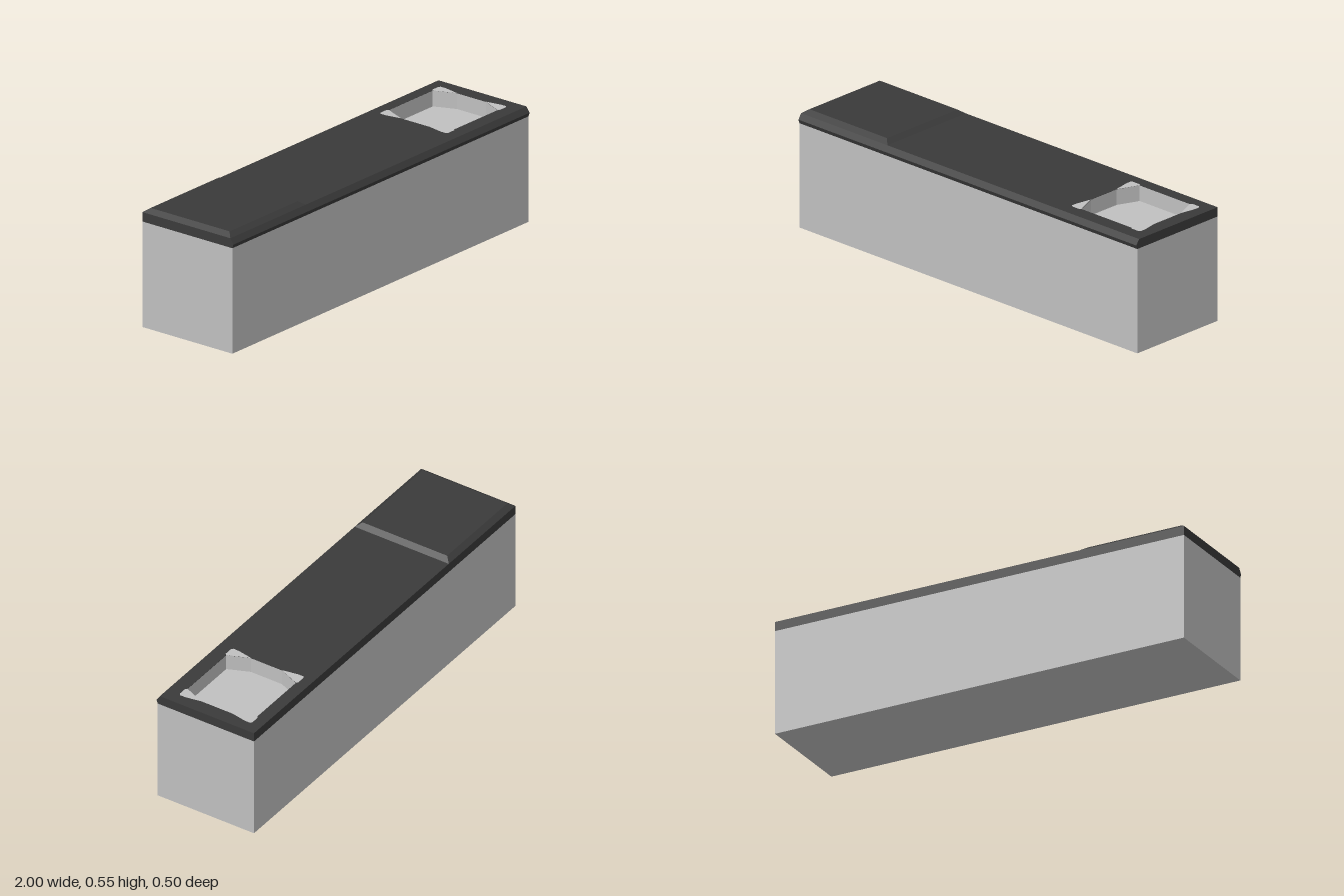
import * as THREE from 'three';

export function createModel() {
  const model = new THREE.Group();
  const cabinetGrey = new THREE.MeshStandardMaterial({ color: 0xc0c0c0 });
  cabinetGrey.name = 'cabinetGrey';
  const worktopDark = new THREE.MeshStandardMaterial({ color: 0x3a3a3a });
  worktopDark.name = 'worktopDark';

  const add = (name, geometry, material, parent = model) => {
    const mesh = new THREE.Mesh(geometry, material);
    mesh.name = name;
    parent.add(mesh);
    return mesh;
  };
  const toPoints = (list) => list.map(([x, y]) => new THREE.Vector2(x, y));
  // Extrude a plan outline (x, -z) upwards from height y
  const extrudeUp = (shape, y, depth) =>
    new THREE.ExtrudeGeometry(shape, { depth, bevelEnabled: false })
      .rotateX(-Math.PI / 2).translate(0, y, 0);

  const underside = 0.484, top = 0.527, back = -0.25, lip = 0.235;
  const sinkX = 0.742, sinkZ = -0.013, floorY = 0.455;

  // Cabinet: box left open at the top, where the worktop covers it
  const cabinet = new THREE.BoxGeometry(2, underside, 0.496).translate(0, underside / 2, -0.002);
  cabinet.groups = cabinet.groups.filter((g) => g.materialIndex !== 2);
  add('cabinet', cabinet, Array(6).fill(cabinetGrey));

  // Sink outline: rectangle with cut corners
  const quarter = [[0.19, 0.08], [0.148, 0.18]];
  const octagon = [];
  for (const [sx, sz] of [[1, 1], [-1, 1], [-1, -1], [1, -1]]) {
    const pts = quarter.map(([x, z]) => [sinkX + sx * x, -sinkZ + sz * z]);
    octagon.push(...(sx * sz > 0 ? pts : pts.reverse()));
  }

  // Worktop slab with the sink opening
  const slab = new THREE.Shape(toPoints([[-1, -lip], [1, -lip], [1, -back], [-1, -back]]));
  slab.holes.push(new THREE.Path(toPoints(octagon)));
  add('worktop', extrudeUp(slab, underside, top - underside), worktopDark);

  // Faceted front edge, extruded along x
  const nose = new THREE.Shape(toPoints([
    [-lip, underside], [-lip, top], [-0.252, 0.502], [-0.246, underside],
  ]));
  add('worktopFrontEdge', new THREE.ExtrudeGeometry(nose, { depth: 2, bevelEnabled: false })
    .rotateY(Math.PI / 2).translate(-1, 0, 0), worktopDark);

  // Raised section with sloping sides
  const width = 0.51, depth = lip - back, height = 0.018, inset = 0.025;
  const raised = new THREE.BoxGeometry(width, height, depth);
  const pos = raised.attributes.position;
  for (let i = 0; i < pos.count; i++) {
    if (pos.getY(i) < 0) continue;
    pos.setX(i, Math.sign(pos.getX(i)) * (width / 2 - inset));
    pos.setZ(i, Math.sign(pos.getZ(i)) * (depth / 2 - inset));
  }
  const raisedFlat = raised.toNonIndexed();
  raisedFlat.computeVertexNormals();
  raisedFlat.translate(-1 + width / 2, top + height / 2, (lip + back) / 2);
  add('raisedSection', raisedFlat, worktopDark);

  // Basin: inward-facing walls and a floor
  const sink = new THREE.Group();
  sink.name = 'sink';
  model.add(sink);
  octagon.forEach(([x0, y0], i) => {
    const [x1, y1] = octagon[(i + 1) % octagon.length];
    const wall = new THREE.PlaneGeometry(Math.hypot(x1 - x0, y1 - y0), top - floorY);
    const mesh = add('sinkWall', wall, cabinetGrey, sink);
    const mx = (x0 + x1) / 2, mz = -(y0 + y1) / 2;
    // Nudge inside the worktop opening
    const normal = new THREE.Vector2(-(y1 - y0), x1 - x0).normalize();
    mesh.position.set(mx + normal.x * 0.001, (top + floorY) / 2, mz - normal.y * 0.001);
    mesh.rotation.y = Math.atan2(normal.x, -normal.y);
  });
  add('sinkFloor', new THREE.ShapeGeometry(new THREE.Shape(toPoints(octagon)))
    .rotateX(-Math.PI / 2).translate(0, floorY, 0), cabinetGrey, sink);

  // Thin corner plates around the basin
  const corner = [[0.19, 0.08], [0.203, 0.15], [0.204, 0.18], [0.195, 0.187], [0.155, 0.187], [0.148, 0.18]];
  for (const sx of [-1, 1]) {
    for (const sz of [-1, 1]) {
      const outline = corner.map(([x, z]) => [sinkX + sx * x, -sinkZ + sz * z]);
      add('sinkCorner', extrudeUp(new THREE.Shape(toPoints(outline)), top - 0.001, 0.002), cabinetGrey, sink);
    }
  }
  return model;
}
